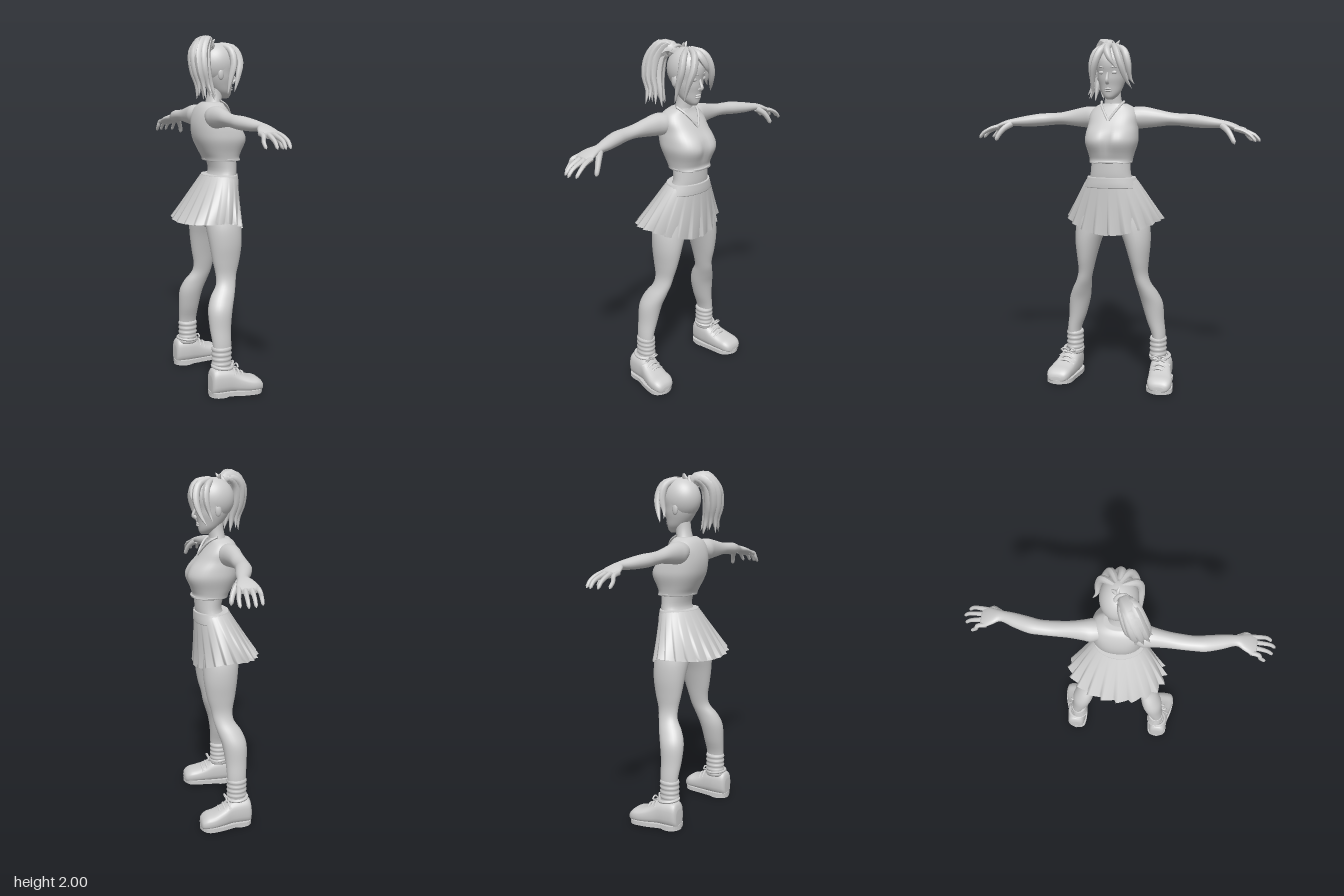
import * as THREE from 'three';
import { mergeGeometries } from 'three/addons/utils/BufferGeometryUtils.js';

const V = (a) => new THREE.Vector3(...a);

// Closed loft. Each section: [t, uMin, uMax, vMin, vMax] along the given axis.
function loft(axis, sections, { n = 28, sub = 4, power = 1, warp } = {}) {
  const at = (i) => sections[Math.max(0, Math.min(sections.length - 1, i))];
  const rows = [];
  for (let i = 0; i < sections.length - 1; i++)
    for (let k = 0; k < sub; k++) {
      const f = k / sub;
      rows.push(at(i).map((b, c) => {
        const a = at(i - 1)[c], d = at(i + 1)[c], e = at(i + 2)[c];
        return b + 0.5 * f * (d - a + f * (2 * a - 5 * b + 4 * d - e + f * (3 * (b - d) + e - a)));
      }));
    }
  rows.push(at(sections.length - 1));
  const place = { x: (t, u, v) => [t, u, v], y: (t, u, v) => [u, t, v], z: (t, u, v) => [u, v, t] }[axis];
  const pos = [], idx = [];
  const put = (t, u, v) => {
    const p = V(place(t, u, v));
    if (warp) warp(p);
    pos.push(p.x, p.y, p.z);
  };
  const curve = (c) => Math.sign(c) * Math.abs(c) ** power;
  rows.forEach(([t, u0, u1, v0, v1], r) => {
    for (let j = 0; j < n; j++) {
      const a = (j / n) * Math.PI * 2;
      put(t, (u0 + u1) / 2 + curve(Math.cos(a)) * (u1 - u0) / 2, (v0 + v1) / 2 + curve(Math.sin(a)) * (v1 - v0) / 2);
      const a0 = r * n + j, b0 = r * n + (j + 1) % n;
      if (r < rows.length - 1) idx.push(a0, a0 + n, b0, b0, a0 + n, b0 + n);
    }
  });
  const last = (rows.length - 1) * n, c0 = rows.length * n;
  for (const [t, u0, u1, v0, v1] of [rows[0], rows[rows.length - 1]]) put(t, (u0 + u1) / 2, (v0 + v1) / 2);
  for (let j = 0; j < n; j++) {
    const k = (j + 1) % n;
    idx.push(c0, j, k, c0 + 1, last + k, last + j);
  }
  const g = new THREE.BufferGeometry();
  g.setAttribute('position', new THREE.Float32BufferAttribute(pos, 3));
  // The y axis gives the opposite corner order to x and z.
  g.setIndex(idx);
  if (axis !== 'y') flip(g);
  g.computeVertexNormals();
  return g;
}

function flip(g) {
  const a = g.index.array;
  for (let i = 0; i < a.length; i += 3) [a[i], a[i + 1]] = [a[i + 1], a[i]];
}

function mirrored(g) {
  const m = g.clone().scale(1, 1, -1);
  flip(m);
  m.computeVertexNormals();
  return m;
}

// Tapered tube: radius varies along the path by taper(f).
function strand(points, radius, taper, seg = 14, sides = 8) {
  const path = new THREE.CatmullRomCurve3(points.map(V));
  const g = new THREE.TubeGeometry(path, seg, radius, sides);
  const p = g.attributes.position, v = new THREE.Vector3();
  for (let i = 0; i < p.count; i++) {
    const f = Math.floor(i / (sides + 1)) / seg, c = path.getPointAt(f);
    v.fromBufferAttribute(p, i).sub(c).multiplyScalar(taper(f)).add(c);
    p.setXYZ(i, v.x, v.y, v.z);
  }
  g.computeVertexNormals();
  return g;
}
const lockTaper = (f) => Math.max(0.03, Math.sin(Math.PI * (0.18 + 0.82 * f)) ** 0.8);
const fingerTaper = (f) => (f > 0.97 ? 0.2 : 1 - 0.4 * f);
const ball = (c, r) => new THREE.SphereGeometry(1, 16, 12).scale(...r).translate(...c);

// Pleated skirt with a hem that dips at the front.
function skirtGeometry() {
  const pleats = 20, per = 8, n = pleats * per, rows = 14, pos = [], idx = [];
  for (let r = 0; r <= rows; r++)
    for (let j = 0; j <= n; j++) {
      const f = r / rows, a = (j / n) * Math.PI * 2, c = Math.cos(a), s = Math.sin(a);
      const saw = (j % per) / per;
      const k = 1 + f * f * 0.13 * (saw - 0.55);
      const hem = 0.955 + 0.02 * s * s - 0.06 * Math.max(0, c) ** 2;
      const cx = 0.055 - 0.08 * f, rx = 0.098 + 0.085 * f, rz = 0.138 + 0.142 * f ** 0.9;
      pos.push(cx + rx * k * c, 1.22 + (hem - 1.22) * f + 0.008 * saw * f, rz * k * s);
      if (r < rows && j < n) {
        const q = r * (n + 1) + j, w = q + n + 1;
        idx.push(q, q + 1, w, q + 1, w + 1, w);
      }
    }
  const g = new THREE.BufferGeometry();
  g.setAttribute('position', new THREE.Float32BufferAttribute(pos, 3));
  g.setIndex(idx);
  g.computeVertexNormals();
  return g;
}

export function createModel() {
  const model = new THREE.Group();
  const grey = new THREE.MeshStandardMaterial({ color: 0xcccccc, side: THREE.DoubleSide });
  grey.name = 'plain grey';
  const add = (name, g) => {
    const m = new THREE.Mesh(g, grey);
    m.name = name;
    model.add(m);
    return m;
  };
  const pair = (name, g) => {
    add(name + 'Right', g);
    add(name + 'Left', mirrored(g));
  };
  // Symmetric upright sections: [y, back, front, half width]
  const upright = (rows, opt) => loft('y', rows.map(([y, b, f, w]) => [y, b, f, -w, w]), opt);

  // Torso
  add('croppedTop', upright([
    [1.305, -0.035, 0.172, 0.12], [1.325, -0.04, 0.165, 0.122], [1.36, -0.06, 0.178, 0.13], [1.42, -0.09, 0.203, 0.147],
    [1.47, -0.102, 0.187, 0.146], [1.52, -0.103, 0.143, 0.14], [1.57, -0.092, 0.105, 0.138],
    [1.61, -0.072, 0.075, 0.115], [1.635, -0.045, 0.065, 0.07]], {
    n: 40, power: 0.85,
    warp: (p) => { // valley between the breasts
      const d = Math.exp(-((p.y - 1.43) ** 2) / 0.004) * Math.exp(-(p.z ** 2) / 0.0009);
      if (p.x > 0.08) p.x -= 0.022 * d;
    } }));
  add('topHem', new THREE.TorusGeometry(1, 0.05, 8, 48).rotateX(Math.PI / 2).scale(0.101, 0.12, 0.117).translate(0.068, 1.312, 0));
  pair('collar', strand([[0.03, 1.645, 0.066], [0.075, 1.62, 0.052], [0.108, 1.58, 0.026], [0.13, 1.54, 0]], 0.007, () => 1));
  add('waistAndHips', upright([
    [0.9, 0.01, 0.07, 0.05], [0.95, -0.08, 0.11, 0.14], [1.05, -0.09, 0.13, 0.17], [1.14, -0.06, 0.14, 0.15],
    [1.2, -0.02, 0.145, 0.13], [1.25, 0, 0.15, 0.116], [1.33, -0.02, 0.15, 0.112]]));
  add('neck', upright([[1.6, -0.04, 0.07, 0.065], [1.635, -0.025, 0.066, 0.052], [1.68, -0.015, 0.07, 0.045], [1.73, -0.01, 0.07, 0.045]]));
  add('skirt', skirtGeometry());
  add('waistband', upright([[1.165, -0.048, 0.157, 0.162], [1.19, -0.045, 0.158, 0.152], [1.225, -0.042, 0.156, 0.139]]));

  // Arms and hands
  pair('arm', loft('z', [
    [0.08, -0.07, 0.04, 1.52, 1.61], [0.13, -0.085, 0.04, 1.495, 1.617], [0.18, -0.08, 0.025, 1.497, 1.615], [0.25, -0.075, 0.012, 1.505, 1.6],
    [0.33, -0.075, 0.008, 1.513, 1.583], [0.4, -0.073, 0.008, 1.508, 1.578], [0.46, -0.068, 0.02, 1.502, 1.575],
    [0.54, -0.042, 0.036, 1.5, 1.562], [0.61, -0.015, 0.045, 1.503, 1.547], [0.65, -0.032, 0.055, 1.499, 1.538],
    [0.69, -0.046, 0.066, 1.485, 1.523], [0.72, -0.042, 0.064, 1.474, 1.506]], { n: 20 }));
  const fingers = [[-0.034, -0.045, 0.775], [-0.004, -0.003, 0.812], [0.025, 0.035, 0.825], [0.053, 0.072, 0.805]]
    .map(([x0, x1, z]) => strand([[x0, 1.5, 0.69], [(x0 + x1) / 2, 1.488, 0.735], [x1, 1.465, z - 0.03], [x1, 1.432, z]], 0.0145, fingerTaper));
  fingers.push(strand([[0.035, 1.515, 0.62], [0.066, 1.487, 0.655], [0.083, 1.455, 0.677], [0.092, 1.42, 0.695]], 0.019, fingerTaper));
  pair('fingers', mergeGeometries(fingers));

  // Legs: thigh, knee, calf, ankle
  pair('leg', loft('y', [
    [0.16, -0.09, 0.01, 0.225, 0.295], [0.28, -0.093, 0.015, 0.222, 0.3], [0.38, -0.102, 0.022, 0.188, 0.29],
    [0.48, -0.104, 0.038, 0.16, 0.283], [0.55, -0.08, 0.06, 0.147, 0.255], [0.61, -0.04, 0.078, 0.136, 0.222], [0.67, -0.035, 0.09, 0.122, 0.207],
    [0.75, -0.05, 0.112, 0.102, 0.212], [0.85, -0.065, 0.128, 0.072, 0.221], [0.95, -0.075, 0.13, 0.035, 0.215], [1.06, -0.07, 0.12, 0.03, 0.18]]));
  // Slouched socks
  pair('sock', loft('y', Array.from({ length: 11 }, (_, i) => {
    const b = i % 2 ? 0.006 : 0;
    return [0.14 + i * 0.014, -0.094 - b, 0.013 + b, 0.212 - b, 0.302 + b];
  }), { n: 24, sub: 2 }));

  // Shoes
  pair('shoeUpper', loft('x', [
    [-0.12, 0.02, 0.12, 0.245, 0.31], [-0.105, 0.015, 0.16, 0.226, 0.33], [-0.05, 0.015, 0.165, 0.217, 0.338],
    [0, 0.015, 0.158, 0.218, 0.342], [0.045, 0.015, 0.128, 0.222, 0.355], [0.1, 0.015, 0.104, 0.228, 0.37],
    [0.145, 0.015, 0.093, 0.234, 0.371], [0.173, 0.018, 0.072, 0.252, 0.358], [0.182, 0.025, 0.05, 0.28, 0.335]], { power: 0.75 }));
  const outline = new THREE.Shape();
  outline.setFromPoints(new THREE.CatmullRomCurve3([[-0.123, 0, 0.278], [-0.1, 0, 0.332], [-0.02, 0, 0.342], [0.07, 0, 0.368],
    [0.15, 0, 0.37], [0.185, 0, 0.305], [0.15, 0, 0.235], [0.05, 0, 0.22], [-0.06, 0, 0.214], [-0.11, 0, 0.228]].map(V), true)
    .getPoints(48).slice(0, -1).map((p) => new THREE.Vector2(p.x, -p.z)));
  const sole = new THREE.ExtrudeGeometry(outline, { depth: 0.024, bevelEnabled: false }).rotateX(-Math.PI / 2).translate(0, 0.008, 0);
  add('soleRight', sole);
  add('soleLeft', sole.clone().rotateY(Math.PI).scale(-1, 1, 1).scale(1, 1, 1)).visible = true;
  model.children.pop();
  const soleLeft = add('soleLeft', sole);
  soleLeft.scale.z = -1;
  pair('heel', new THREE.CylinderGeometry(0.056, 0.058, 0.03, 24).scale(1.12, 1, 1).translate(-0.058, 0.015, 0.276));
  pair('shoeCollar', new THREE.TorusGeometry(0.055, 0.01, 8, 28).rotateX(Math.PI / 2).rotateZ(-0.1).translate(-0.042, 0.165, 0.268));
  const laces = [0, 1, 2].map((i) => strand([[0.01 + i * 0.027, 0.125 - i * 0.015, 0.232],
    [0.018 + i * 0.027, 0.156 - i * 0.017, 0.283], [0.01 + i * 0.027, 0.125 - i * 0.015, 0.338]], 0.007, () => 1));
  for (const s of [-1, 1])
    laces.push(strand([[0.015, 0.155, 0.28], [0.03, 0.182, 0.28 + s * 0.02], [0.03, 0.168, 0.28 + s * 0.045], [0.018, 0.156, 0.28]], 0.005, () => 1));
  pair('laces', mergeGeometries(laces));

  // Head and face
  add('head', upright([
    [1.655, 0.072, 0.11, 0.014], [1.67, 0.04, 0.122, 0.034], [1.695, 0.01, 0.127, 0.053], [1.73, -0.02, 0.132, 0.066],
    [1.765, -0.042, 0.14, 0.076], [1.8, -0.055, 0.143, 0.081], [1.84, -0.062, 0.152, 0.085], [1.88, -0.056, 0.148, 0.081],
    [1.92, -0.028, 0.118, 0.062], [1.945, 0.02, 0.07, 0.025]]));
  add('nose', strand([[0.138, 1.805, 0], [0.148, 1.775, 0], [0.155, 1.757, 0], [0.138, 1.745, 0]], 0.011, (f) => 0.45 + 0.6 * f));
  for (const [i, y] of [1.714, 1.703].entries()) add(i ? 'lowerLip' : 'upperLip', ball([0.128, y, 0], [0.009, 0.006, 0.021]));
  pair('eye', ball([0.132, 1.802, 0.034], [0.008, 0.01, 0.018]));
  pair('brow', strand([[0.144, 1.824, 0.012], [0.139, 1.832, 0.036], [0.122, 1.826, 0.056]], 0.005, lockTaper));
  pair('ear', ball([0.03, 1.79, 0.083], [0.018, 0.033, 0.011]));

  // Hair cap, fringe and high side ponytail
  add('hairCap', new THREE.SphereGeometry(1, 32, 20, 0, Math.PI * 2, 0, Math.PI * 0.56).rotateZ(0.75).scale(0.116, 0.117, 0.096).translate(0.042, 1.845, 0));
  const fringe = [
    [[0.06, 1.955, -0.01], [0.13, 1.925, -0.045], [0.15, 1.85, -0.075], [0.13, 1.77, -0.1], [0.1, 1.715, -0.128]],
    [[0.05, 1.95, -0.02], [0.09, 1.92, -0.08], [0.1, 1.85, -0.105], [0.08, 1.77, -0.115], [0.07, 1.74, -0.135]],
    [[0.06, 1.955, 0], [0.13, 1.93, 0.035], [0.153, 1.86, 0.065], [0.135, 1.78, 0.085], [0.11, 1.69, 0.09]],
    [[0.05, 1.95, 0.01], [0.09, 1.92, 0.075], [0.1, 1.85, 0.1], [0.08, 1.77, 0.105], [0.06, 1.68, 0.11]],
    [[0.07, 1.955, 0], [0.135, 1.93, 0.005], [0.162, 1.875, -0.02], [0.158, 1.83, -0.05]]];
  add('fringe', mergeGeometries(fringe.map((p) => strand(p, 0.021, lockTaper))));
  add('ponytailCore', strand([[0, 1.925, 0.02], [-0.05, 1.955, 0.05], [-0.1, 1.91, 0.085], [-0.11, 1.82, 0.11], [-0.085, 1.72, 0.12]], 0.058,
    (f) => Math.max(0.1, Math.sin(Math.PI * (0.14 + 0.8 * f)))));
  const tail = [];
  for (let i = 0; i < 9; i++) { // locks fanned around the core
    const a = (i / 9) * Math.PI * 2, c = Math.cos(a), s = Math.sin(a), drop = 0.035 * ((i * 4) % 9) / 8;
    tail.push(strand([[-0.01, 1.93, 0.025], [-0.055 + 0.02 * c, 1.965 + 0.014 * s, 0.05 + 0.03 * s], [-0.1 + 0.035 * c, 1.91, 0.085 + 0.04 * s],
      [-0.105 + 0.038 * c, 1.81, 0.108 + 0.045 * s], [-0.085 + 0.04 * c, 1.73, 0.115 + 0.04 * s], [-0.075 + 0.05 * c, 1.645 + drop, 0.12 + 0.06 * s]], 0.026, lockTaper, 18));
  }
  add('ponytailLocks', mergeGeometries(tail));
  add('hairTie', new THREE.TorusGeometry(0.034, 0.011, 8, 24).rotateY(Math.PI / 2).rotateZ(-0.5).translate(-0.02, 1.935, 0.025));
  add('hairTieEnds', mergeGeometries([-1, 1].map((s) => strand([[0, 1.94, 0], [0.012, 1.96, -0.01 + s * 0.008], [0.018 + s * 0.01, 1.985, -0.015 + s * 0.02]], 0.01, lockTaper))));
  return model;
}
